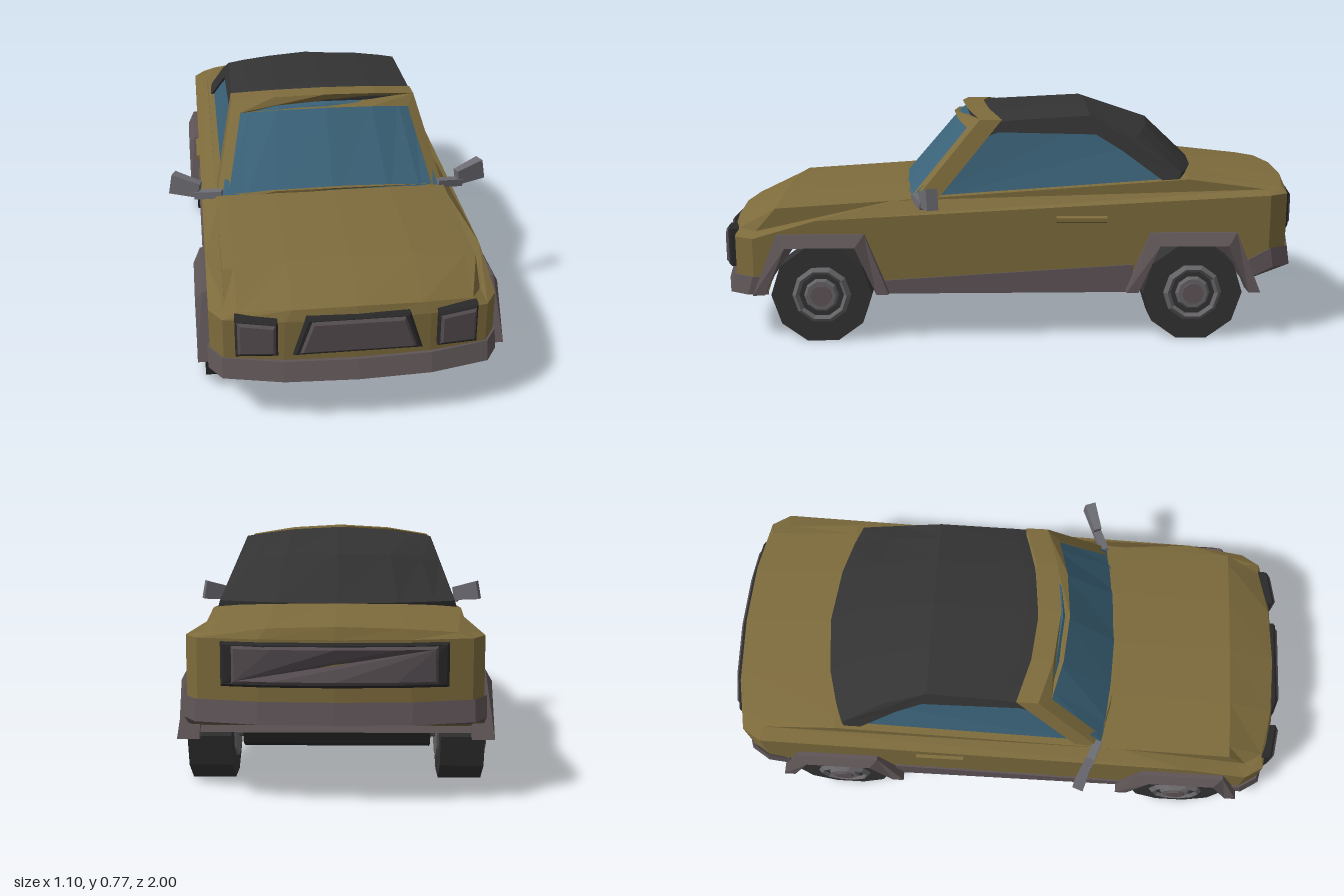
import * as THREE from 'three';

const paint = (color) => new THREE.MeshStandardMaterial({ color, flatShading: true });
const MAT = {
  body: paint(0x7d6b3c), trim: paint(0x5f5557), glass: paint(0x3a6278), dark: paint(0x333333),
  rim: paint(0x666467), floor: paint(0x2a2929), mirror: paint(0x6b6b72), lamp: paint(0x544c50),
};
const BODY_X = [-0.44, -0.40, -0.22, 0, 0.22, 0.40, 0.44];
const CABIN_X = [-0.39, -0.32, -0.2, 0, 0.2, 0.32, 0.39];
const AXLES = [0.635, -0.61];

const shapeOf = (pts) => new THREE.Shape(pts.map((p) => new THREE.Vector2(...p)));

// Moves every vertex by a rule, then rebuilds flat normals
function reshape(geo, rule) {
  const p = geo.attributes.position;
  for (let i = 0; i < p.count; i++) p.setXYZ(i, ...rule(p.getX(i), p.getY(i), p.getZ(i)));
  geo.computeVertexNormals();
  return geo;
}

function add(parent, name, geo, mat) {
  const m = new THREE.Mesh(geo, mat);
  m.name = name;
  parent.add(m);
  return m;
}

// Side profile of [z, y] points carried across the car at the given x levels
function across(pts, levels, rule = (x, y, z) => [x, y, z]) {
  const steps = levels.length - 1;
  const geo = new THREE.ExtrudeGeometry(shapeOf(pts), { depth: 1, steps, bevelEnabled: false });
  return reshape(geo, (a, b, d) => rule(levels[steps - Math.round(d * steps)], b, a));
}

// How far the nose and tail sweep back toward the corners
function sweep(x) {
  const a = Math.abs(x);
  return a < 0.22 ? 0.01 * a / 0.22 : a < 0.4 ? 0.01 + (a - 0.22) * 0.19 : 0.044 + (a - 0.4) * 1.6;
}
function bodyRule(x, y, z) {
  const w = THREE.MathUtils.clamp((Math.abs(z) - 0.8) / 0.17, 0, 1);
  return [x, y, z - Math.sign(z) * w * sweep(x)];
}
const beltY = (z) => (z > 0.65 ? 0.41 - (z - 0.65) * 0.19 : 0.41 + (0.65 - z) * 0.048);

// Deck pulls in above the belt crease and crowns at the centre
function deckRule(x, y, z) {
  const [bx, by, bz] = bodyRule(x, y, z);
  if (y < beltY(z) + 0.005) return [bx, by, bz];
  return [bx * 0.89, by - 0.025 * (x / 0.44) ** 2, bz];
}

// Cabin tapers upward, its roof crowns and both ends curve in plan
const cabinWidth = (y) => 1 - 0.72 * Math.max(0, y - 0.5);
function cabinRule(x, y, z) {
  const q = (x / 0.39) ** 2;
  const dz = z > 0.05 ? -0.06 * q : z < -0.35 ? 0.08 * q : 0;
  return [x * cabinWidth(y), y > 0.6 ? y - 0.03 * q : y, z + dz];
}

// Wheel opening outline, front to back
const arch = (c, top, foot, h, y0, back = y0) =>
  [[c + foot, y0], [c + top, h], [c - top, h], [c - foot, back]];

const archBand = (c, o, i, y0) => [...arch(c, o[0], o[1], o[2], y0), ...arch(c, i[0], i[1], i[2], y0).reverse()];

// Bevelled panel lying on the nose (sign 1) or tail (sign -1)
function facePanel(pts, z, sign, bevel) {
  const geo = new THREE.ExtrudeGeometry(shapeOf(pts), {
    depth: 0.03, bevelEnabled: true, bevelSegments: 1, bevelSize: bevel, bevelThickness: bevel, bevelOffset: -bevel,
  });
  return reshape(geo, (x, y, d) => [sign * x, y, sign * (z + d - sweep(x))]);
}

function buildWheel() {
  const g = new THREE.Group();
  const ring = (name, r0, r1, len, x, sides, mat) => {
    const geo = new THREE.CylinderGeometry(r0, r1, len, sides).rotateZ(-Math.PI / 2).translate(x, 0, 0);
    add(g, name, geo, mat);
  };
  ring('tyre', 0.168, 0.168, 0.135, 0, 10, MAT.dark);
  ring('innerHub', 0.1, 0.1, 0.01, -0.07, 10, MAT.rim);
  const lip = new THREE.TorusGeometry(0.085, 0.014, 4, 10).rotateY(Math.PI / 2).translate(0.067, 0, 0);
  add(g, 'rimLip', lip, MAT.rim);
  ring('rimDish', 0.08, 0.08, 0.01, 0.065, 10, MAT.dark);
  ring('hub', 0.05, 0.062, 0.016, 0.073, 10, MAT.rim);
  ring('hubCap', 0.036, 0.036, 0.008, 0.083, 10, MAT.trim);
  return g;
}

// Windscreen surround: a framed opening laid back and curved
function windscreenFrame() {
  const xs = [-1, -0.55, 0, 0.55, 1];
  const loop = (w, lo, hi) => [...xs.map((x) => [x * w, lo]), ...[...xs].reverse().map((x) => [x * w, hi])];
  const s = shapeOf(loop(0.395, 0, 1));
  s.holes.push(new THREE.Path(loop(0.35, 0.1, 0.87).map((p) => new THREE.Vector2(...p))));
  const geo = new THREE.ExtrudeGeometry(s, { depth: 1, bevelEnabled: false });
  return reshape(geo, (x, t, d) => {
    const y = 0.475 + 0.285 * t, q = (x / 0.39) ** 2;
    return [x * cabinWidth(y), y - 0.03 * q, 0.405 - 0.24 * t - 0.06 * q - 0.075 * (1 - d)];
  });
}

export function createModel() {
  const car = new THREE.Group();
  car.name = 'car';

  // Lower body with wheel openings cut from below
  const [f, r] = AXLES;
  const lower = [
    [0.97, 0.17], ...arch(f, 0.125, 0.2, 0.335, 0.17), ...arch(r, 0.125, 0.19, 0.335, 0.17, 0.2), [-0.975, 0.25],
    [-0.975, beltY(-0.975)], [0.65, 0.41], [0.97, beltY(0.97)],
  ];
  add(car, 'lowerBody', across(lower, BODY_X, bodyRule), MAT.body);

  // Bonnet, shoulders and boot
  const deck = [
    [0.97, beltY(0.97)], [0.96, 0.39], [0.79, 0.467], [0.4, 0.492], [-0.6, 0.56], [-0.965, 0.525],
    [-0.975, beltY(-0.975)], [0.65, 0.41],
  ];
  add(car, 'upperBody', across(deck, BODY_X, deckRule), MAT.body);

  // Bumpers and sills
  const wide = BODY_X.map((x) => x * 1.015);
  const skirts = {
    frontBumper: [[0.84, 0.16], [1, 0.16], [0.982, 0.22], [0.85, 0.22]],
    sill: [[0.43, 0.16], [-0.41, 0.16], [-0.41, 0.255], [0.43, 0.205]],
    rearBumper: [[-0.79, 0.2], [-1, 0.245], [-0.99, 0.31], [-0.8, 0.27]],
  };
  for (const [name, pts] of Object.entries(skirts)) add(car, name, across(pts, wide, bodyRule), MAT.trim);
  add(car, 'floor', new THREE.BoxGeometry(0.8, 0.02, 0.82).translate(0, 0.166, 0.01), MAT.floor);

  // Wheel wells, axles, flared arches and wheels
  for (const c of AXLES) {
    add(car, 'wheelWell', across(archBand(c, [0.127, 0.2, 0.34], [0.117, 0.187, 0.325], 0.18), [-0.435, 0.435]), MAT.trim);
    const axle = new THREE.CylinderGeometry(0.07, 0.07, 0.59, 8).rotateZ(Math.PI / 2).translate(0, 0.16, c);
    add(car, 'axle', axle, MAT.floor);
    const stub = new THREE.CylinderGeometry(0.04, 0.04, 0.68, 8).rotateZ(Math.PI / 2).translate(0, 0.16, c);
    add(car, 'axleStub', stub, MAT.trim);
    for (const side of [1, -1]) {
      const flare = across(archBand(c, [0.145, 0.225, 0.365], [0.115, 0.185, 0.325], 0.165), [0.41, 0.478], (x, y, z) =>
        [side * (x > 0.45 && y > 0.35 ? 0.455 : x), y, side > 0 ? z : 2 * c - z]);
      // A half turn leaves the corner order intact for the mirrored side
      add(car, 'wheelArch', flare, MAT.trim);
      const wheel = buildWheel();
      wheel.name = 'wheel';
      wheel.position.set(side * 0.3875, 0.16, c);
      wheel.rotation.y = side > 0 ? 0 : Math.PI;
      car.add(wheel);
    }
  }

  // Cabin: glass core, soft top over it, windscreen surround
  const glass = [[0.42, 0.44], [0.172, 0.73], [-0.27, 0.74], [-0.48, 0.67], [-0.62, 0.5]];
  add(car, 'windows', across(glass, CABIN_X, (x, y, z) => cabinRule(x * 0.97, y, z)), MAT.glass);
  const top = [
    [0.15, 0.745], [0.05, 0.757], [-0.27, 0.772], [-0.5, 0.7], [-0.655, 0.555], [-0.64, 0.5],
    [-0.62, 0.51], [-0.46, 0.655], [-0.29, 0.71], [0.04, 0.718], [0.15, 0.70],
  ];
  add(car, 'softTop', across(top, CABIN_X, cabinRule), MAT.dark);
  add(car, 'windscreenFrame', windscreenFrame(), MAT.body);

  // Grille, lamps and tail panel
  const framed = (name, pts, z, sign) => {
    const n = pts.length, cx = pts.reduce((s, p) => s + p[0], 0) / n, cy = pts.reduce((s, p) => s + p[1], 0) / n;
    const inner = pts.map(([x, y]) => [cx + (x - cx) * 0.9, cy + (y - cy) * 0.84]);
    add(car, name + 'Surround', facePanel(pts, z, sign, 0.008), MAT.floor);
    add(car, name, facePanel(inner, z + 0.008, sign, 0.008), MAT.lamp);
  };
  framed('grille', [[-0.195, 0.242], [0.195, 0.242], [0.155, 0.367], [-0.155, 0.367]], 0.95, 1);
  for (const s of [1, -1]) {
    const pts = [[0.24, 0.245], [0.365, 0.237], [0.365, 0.367], [0.24, 0.36]].map(([x, y]) => [s * x, y]);
    framed('headlight', pts, 0.957, 1);
  }
  framed('tailPanel', [[-0.33, 0.35], [-0.2, 0.35], [0, 0.35], [0.2, 0.35], [0.33, 0.35],
    [0.33, 0.48], [0.2, 0.48], [0, 0.48], [-0.2, 0.48], [-0.33, 0.48]], 0.95, -1);

  // Mirrors and door handles
  for (const side of [1, -1]) {
    const mirror = new THREE.Group();
    mirror.name = 'mirror';
    const arm = add(mirror, 'mirrorArm', new THREE.BoxGeometry(0.1, 0.025, 0.03), MAT.mirror);
    arm.position.set(side * 0.415, 0.47, 0.305);
    arm.rotation.set(0, side * 0.35, -side * 0.15);
    const head = new THREE.CylinderGeometry(0.05, 0.036, 0.1, 4, 1, false, Math.PI / 4).rotateZ(-Math.PI / 2);
    head.scale(1, 1, 0.55).rotateY(side > 0 ? 0 : Math.PI);
    const shell = add(mirror, 'mirrorHead', head, MAT.mirror);
    shell.position.set(side * 0.492, 0.491, 0.275);
    shell.rotation.set(0, side * 0.35, side * 0.18);
    car.add(mirror);
    const handle = add(car, 'doorHandle', new THREE.CylinderGeometry(0.012, 0.012, 0.17, 6), MAT.body);
    handle.rotation.x = Math.PI / 2;
    handle.position.set(side * 0.44, 0.41, -0.235);
  }
  return car;
}
